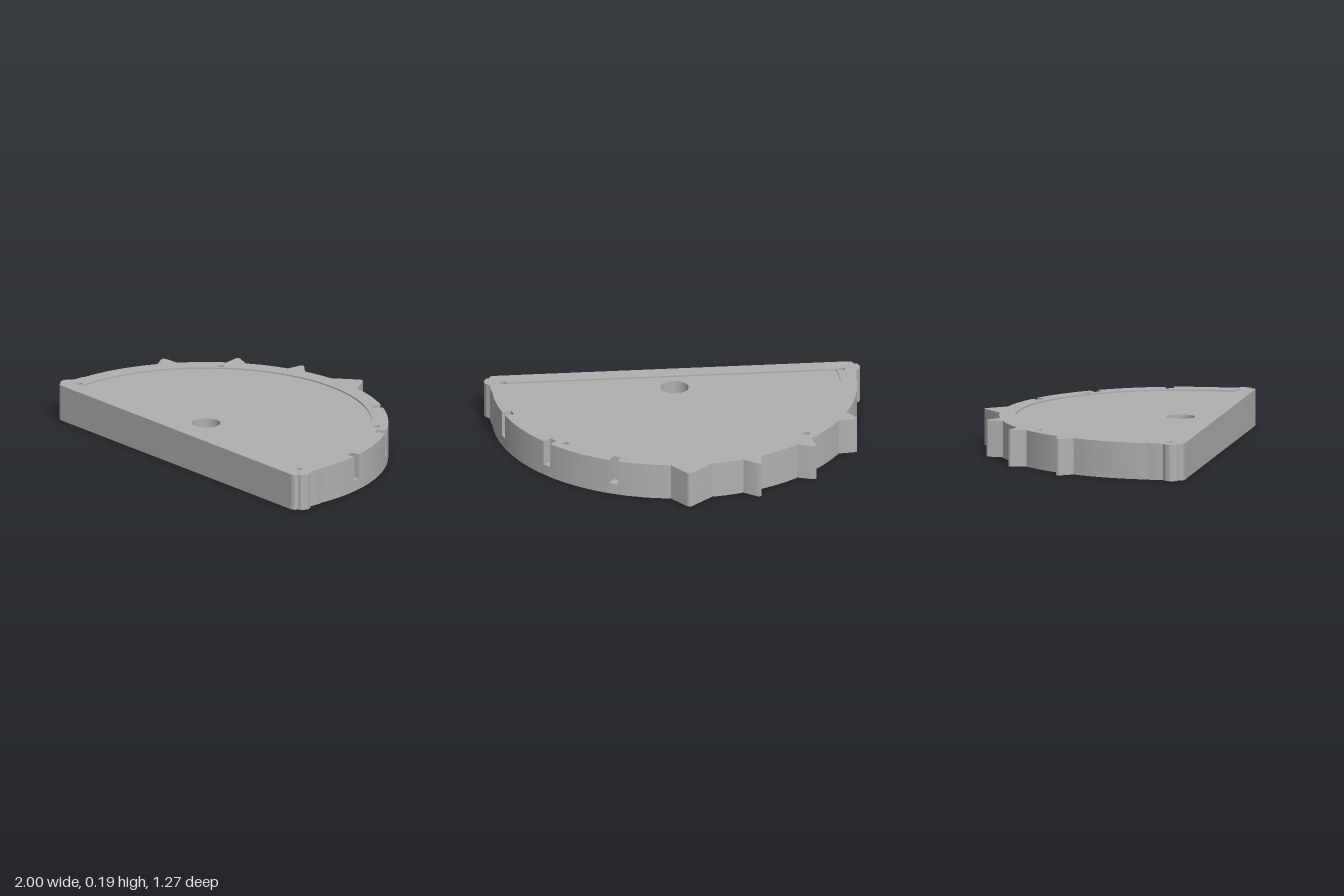
import * as THREE from 'three';
import { mergeGeometries, toCreasedNormals } from 'three/addons/utils/BufferGeometryUtils.js';

const grey = new THREE.MeshStandardMaterial({ color: 0xb0b0b0, side: THREE.DoubleSide });
grey.name = 'plain grey';

const H = 0.195, NOTCH_Y = 0.06, PANEL_Y = 0.187;
const CZ = 0.43, R = 0.967;
const rad = THREE.MathUtils.degToRad;

// Plan points are [x, z]; angles run from +x over the back to -x.
const polar = (r, a) => [r * Math.cos(a), CZ - r * Math.sin(a)];

function circle(x, z, r, n = 32) {
  return Array.from({ length: n }, (_, i) => {
    const t = (i / n) * Math.PI * 2;
    return [x + r * Math.cos(t), z + r * Math.sin(t)];
  });
}

const rect = (x0, x1, z0, z1) => [[x0, z0], [x1, z0], [x1, z1], [x0, z1]];

function fromTriangles(list) {
  const g = new THREE.BufferGeometry();
  g.setAttribute('position', new THREE.Float32BufferAttribute(list.flat(), 3));
  return toCreasedNormals(g, rad(25));
}

// Flat face at height y, facing up or down
function cap(points, y, up, holes = []) {
  const s = up ? -1 : 1;
  const vec = (list) => list.map(([x, z]) => new THREE.Vector2(x, z * s));
  const shape = new THREE.Shape(vec(points));
  shape.holes = holes.map((h) => new THREE.Path(vec(h)));
  const g = new THREE.ShapeGeometry(shape).rotateX(s * Math.PI / 2).translate(0, y, 0).toNonIndexed();
  g.deleteAttribute('uv');
  return g;
}

// Upright wall round a closed plan, facing out or in
function wall(points, y0, y1, inward = false) {
  const area = THREE.ShapeUtils.area(points.map(([x, z]) => new THREE.Vector2(x, z)));
  const p = (area > 0) !== inward ? points : [...points].reverse();
  const tris = [];
  p.forEach(([ax, az], i) => {
    const [bx, bz] = p[(i + 1) % p.length];
    const a0 = [ax, y0, az], a1 = [ax, y1, az], b0 = [bx, y0, bz], b1 = [bx, y1, bz];
    tris.push(a0, a1, b1, a0, b1, b0);
  });
  return fromTriangles(tris);
}

// Blind recess, open downwards from y = 0 or upwards from the top
function recess(points, open, end) {
  const up = open > end;
  return mergeGeometries([
    wall(points, Math.min(open, end), Math.max(open, end), true),
    cap(points, end, up),
  ]);
}

// Rounded lug at each front corner
const corner = [[0.945, 0.635], [0.962, 0.627], [0.97, 0.608], [0.985, 0.605], [0.996, 0.587],
  [1, 0.567], [0.992, 0.543], [0.972, 0.525], [0.972, 0.465], [0.967, 0.45]];

// Teeth along the right half of the arc: start angle, end angle, tip points
const teeth = [
  [83.5, 96.5, [[0.03, -0.635], [0.02, -0.64], [0.008, -0.635]]],
  [106.8, 113, [[-0.35, -0.549], [-0.362, -0.552], [-0.37, -0.545]]],
  [127, 133.1, [[-0.66, -0.369], [-0.675, -0.37], [-0.681, -0.36]]],
  [148.7, 155, [[-0.905, -0.066], [-0.923, -0.06], [-0.925, -0.047]]],
];

// Square notches along the left half
const notches = [15.4, 40.3, 65.2].map((deg) => {
  const a0 = rad(deg - 1.4), a1 = rad(deg + 1.4);
  const inner = [polar(R - 0.05, a0), polar(R - 0.05, a1)];
  return { span: [deg - 1.4, deg + 1.4, inner], floor: [polar(R, a0), ...inner, polar(R, a1)] };
});

function outline(features) {
  const pts = [...corner];
  let from = 0;
  for (const [a0, a1, mid] of [...features, [180, 180, []]]) {
    const n = Math.max(1, Math.ceil((a0 - from) / 2));
    for (let i = 0; i <= n; i++) pts.push(polar(R, rad(from + ((a0 - from) * i) / n)));
    pts.push(...mid);
    from = a1;
  }
  return [...pts, ...corner.map(([x, z]) => [-x, z]).reverse()];
}

// Hollow with sloping sides between two spokes
function pocket(r0, r1, a0, a1) {
  const w = 0.02, n = 16, m = (r0 + r1) / 2;
  const profile = [[r1, 0], [r1, 0.02], [m + 0.03, 0.16], [m - 0.03, 0.16], [r0, 0.02], [r0, 0]];
  const at = (r, v) => {
    const s = Math.asin(w / r);
    return polar(r, a0 + s + (a1 - a0 - 2 * s) * (v / n));
  };
  const point = ([r, y], v) => {
    const [x, z] = at(r, v);
    return [x, y, z];
  };
  const tris = [];
  for (let u = 0; u < profile.length - 1; u++) {
    for (let v = 0; v < n; v++) {
      const a = point(profile[u], v), b = point(profile[u + 1], v);
      const c = point(profile[u + 1], v + 1), d = point(profile[u], v + 1);
      tris.push(a, b, c, a, c, d);
    }
  }
  for (let u = 1; u < profile.length - 1; u++) {
    const fan = (v) => [profile[0], profile[u], profile[u + 1]].map((q) => point(q, v));
    tris.push(...fan(0).reverse(), ...fan(n));
  }
  const steps = Array.from({ length: n + 1 }, (_, v) => v);
  const rim = [...steps.map((v) => at(r1, v)), ...steps.map((v) => at(r0, v)).reverse()];
  return { rim, geometry: fromTriangles(tris) };
}

export function createModel() {
  const model = new THREE.Group();
  model.name = 'halfRoundBase';
  const add = (name, ...geometries) => {
    const mesh = new THREE.Mesh(mergeGeometries(geometries), grey);
    mesh.name = name;
    model.add(mesh);
  };

  const lower = outline(teeth);
  const upper = outline([...notches.map((n) => n.span), ...teeth]);

  // Outer wall
  add('lowerWall', wall(lower, 0, NOTCH_Y));
  add('upperWall', wall(upper, NOTCH_Y, H));
  add('notchFloors', ...notches.map((n) => cap(n.floor, NOTCH_Y, true)));

  // Top rim, screw holes and sunken half-round panel
  const screws = [[0.64, -0.213], [0.9, 0.545]]
    .flatMap(([x, z]) => [circle(x, z, 0.018, 20), circle(-x, z, 0.018, 20)]);
  const pr = 0.88, pa = -Math.asin((0.548 - CZ) / pr);
  const panel = Array.from({ length: 81 }, (_, i) => polar(pr, pa + ((Math.PI - 2 * pa) * i) / 80));
  const bore = circle(0, 0.425, 0.075, 40);
  add('topRim', cap(upper, H, true, [panel, ...screws]));
  add('screwHoles', ...screws.map((s) => recess(s, H, 0.1)));
  add('topPanel', cap(panel, PANEL_Y, true, [bore]), wall(panel, PANEL_Y, H, true));

  // Shaft bore opening into a rectangular bay
  const bay = rect(-0.13, 0.26, 0.345, 0.53), bayY = 0.12;
  add('shaftBore', wall(bore, bayY, PANEL_Y, true));
  add('motorBay', wall(bay, 0, bayY, true), cap(bay, bayY, false, [bore]));

  // Two rings of hollows between the spokes
  const pockets = [];
  for (const [r0, r1] of [[0.29, 0.545], [0.59, 0.865]]) {
    for (let i = 0; i < 4; i++) pockets.push(pocket(r0, r1, (i * Math.PI) / 4, ((i + 1) * Math.PI) / 4));
  }
  add('pockets', ...pockets.map((p) => p.geometry));

  // Slots and round sockets along the front bar
  const slots = [rect(0.3, 0.5, 0.55, 0.61), rect(-0.5, -0.3, 0.55, 0.61)];
  const sockets = [1, -1].flatMap((s) => [circle(s * 0.76, 0.58, 0.03, 24), circle(s * 0.58, 0.58, 0.02, 24)]);
  add('frontSlots', ...slots.map((s) => recess(s, 0, 0.12)));
  add('frontSockets', ...sockets.map((s) => recess(s, 0, 0.1)));

  // Underside face with spokes and rings
  add('underside', cap(lower, 0, false, [bay, ...pockets.map((p) => p.rim), ...slots, ...sockets]));
  return model;
}
